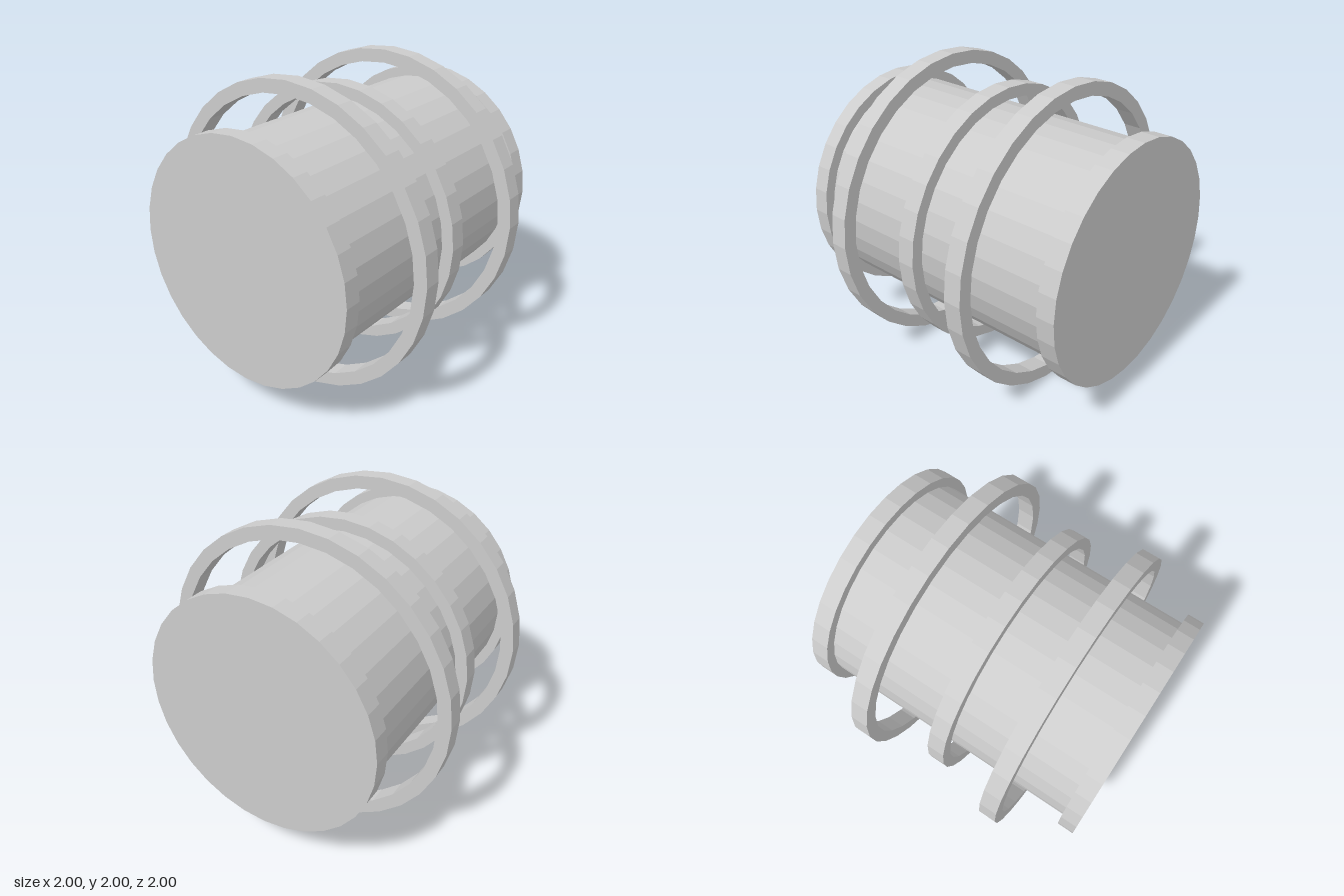
import * as THREE from 'three';

const SIDES = 32;
const AXIS_HEIGHT = 1;

export function createModel() {
  const model = new THREE.Group();
  const material = new THREE.MeshStandardMaterial({ color: 0xcccccc, flatShading: true });

  // Turn a part's axis from y to z and set it on the common centre line
  function add(name, geometry, z = 0) {
    geometry.rotateX(Math.PI / 2);
    const mesh = new THREE.Mesh(geometry, material);
    mesh.name = name;
    mesh.position.set(0, AXIS_HEIGHT, z);
    model.add(mesh);
  }

  // Solid round part between two depths
  function drum(name, radius, back, front) {
    add(name, new THREE.CylinderGeometry(radius, radius, front - back, SIDES), (front + back) / 2);
  }

  // Free-standing hoop with a rectangular section
  function hoop(name, inner, outer, back, front) {
    const section = [[inner, back], [outer, back], [outer, front], [inner, front], [inner, back]]
      .map(([r, d]) => new THREE.Vector2(r, d));
    add(name, new THREE.LatheGeometry(section, SIDES));
  }

  // Central barrel and its end flanges
  drum('barrel', 0.72, -0.88, 0.89);
  drum('frontFlange', 0.787, 0.89, 1);
  drum('backFlange', 0.787, -1, -0.88);

  // Hoops floating around the barrel
  hoop('frontHoop', 0.913, 1, 0.445, 0.562);
  hoop('middleHoop', 0.803, 0.88, -0.025, 0.092);
  hoop('backHoop', 0.913, 1, -0.518, -0.4);

  return model;
}
